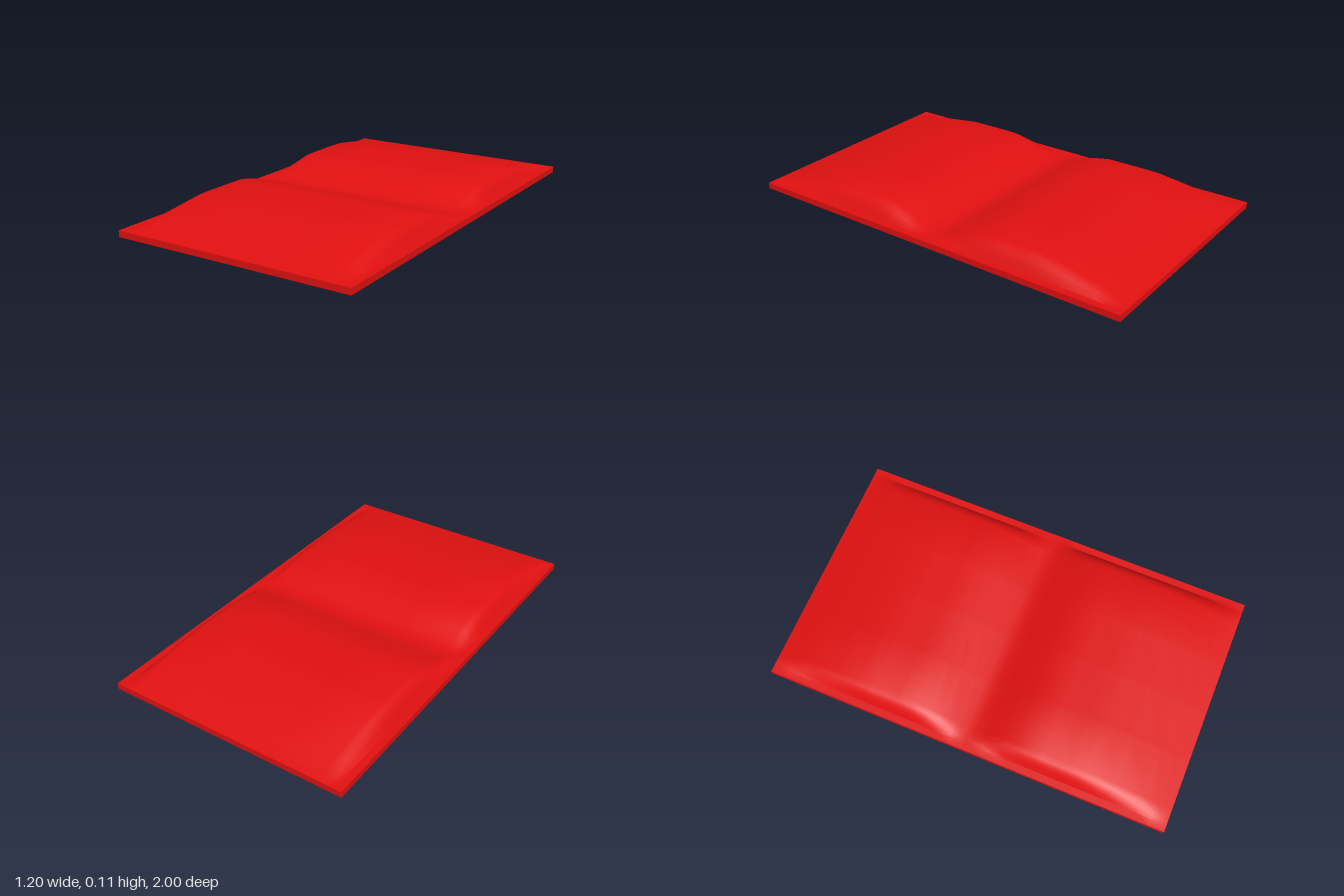
import * as THREE from 'three';
import { toCreasedNormals } from 'three/addons/utils/BufferGeometryUtils.js';

const BASE = 0.03; // thickness of the flat rim and base

// Half profiles as [distance from centre, rise from 0 to 1]
const ACROSS = [[0, 1], [0.25, 1], [0.49, 1], [0.515, 0.88], [0.535, 0.65], [0.55, 0.36], [0.566, 0], [0.6, 0]];
const ALONG = [[0, 0], [0.03, 0.03], [0.08, 0.2], [0.15, 0.58], [0.22, 0.8], [0.285, 0.98], [0.36, 1],
  [0.5, 1], [0.57, 0.98], [0.7, 0.75], [0.85, 0.43], [0.92, 0.22], [0.97, 0.07], [1, 0]];

// Mirror a half profile about its centre
const mirror = (half) => [...half.slice(1).reverse().map(([d, h]) => [-d, h]), ...half];

export function createModel() {
  const group = new THREE.Group();
  const xs = mirror(ACROSS), zs = mirror(ALONG);
  const nx = xs.length - 1, nz = zs.length - 1;

  // Slab whose grid lines move to the profile stations and whose top swells into two pads
  const slab = new THREE.BoxGeometry(nx, BASE, nz, nx, 1, nz);
  const pos = slab.attributes.position;
  for (let i = 0; i < pos.count; i++) {
    const [x, riseX] = xs[Math.round(pos.getX(i) + nx / 2)];
    const [z, riseZ] = zs[Math.round(pos.getZ(i) + nz / 2)];
    const y = pos.getY(i) > 0 ? BASE + 0.077 * riseX * riseZ : 0;
    pos.setXYZ(i, x, y, z);
  }

  const material = new THREE.MeshStandardMaterial({ color: 0xe01010 });
  const mat = new THREE.Mesh(toCreasedNormals(slab, 0.55), material);
  mat.name = 'paddedSlab';
  group.add(mat);
  return group;
}
